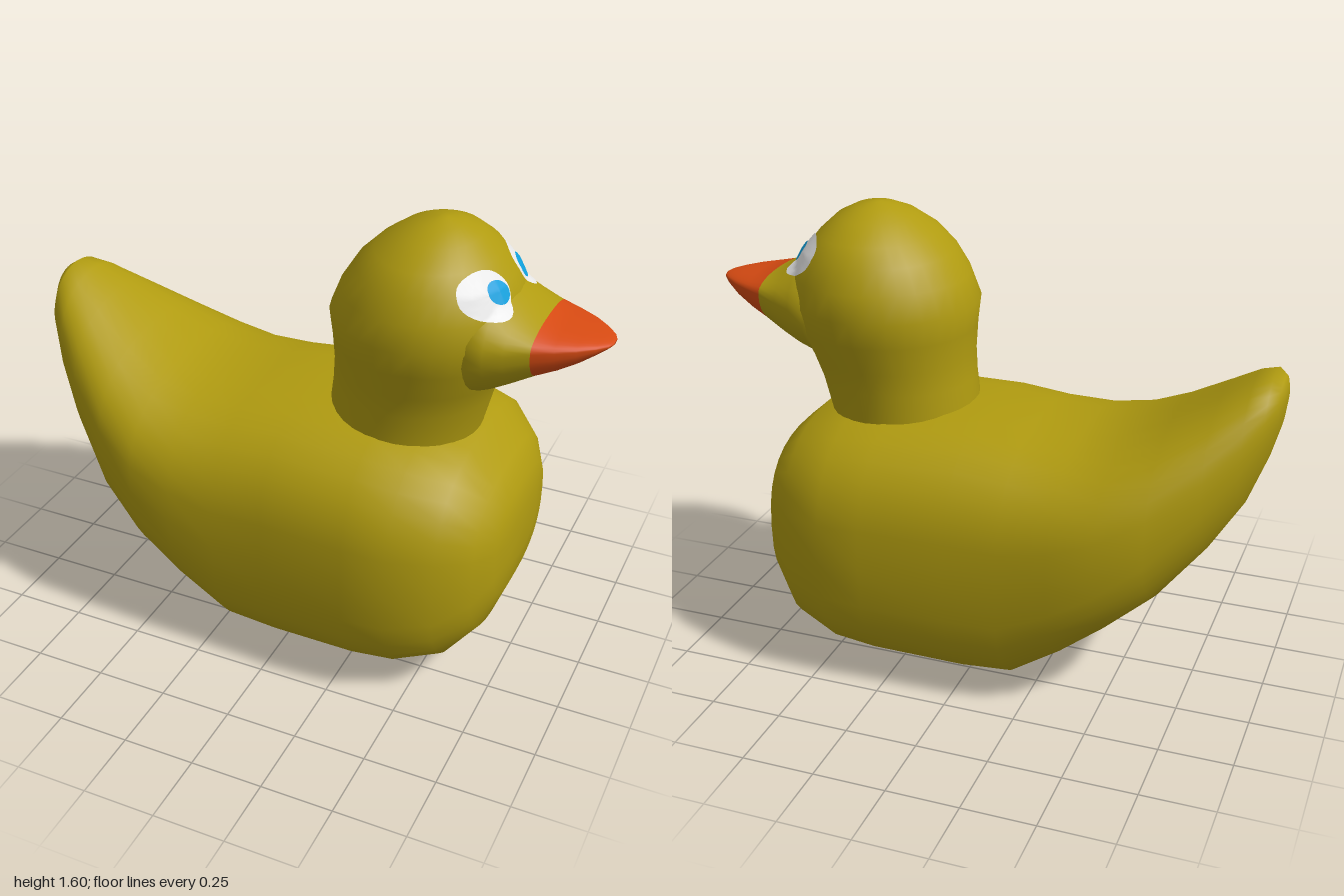
import * as THREE from 'three';

const SIDES = 32;

// superellipse helper: signed power of a sine or cosine
const pw = (v, n) => Math.sign(v) * Math.abs(v) ** (2 / n);

const ring = (fn) => Array.from({ length: SIDES }, (_, j) => {
  const a = (j / SIDES) * Math.PI * 2;
  return fn(Math.cos(a), Math.sin(a));
});

// upright cross-section at x; m is the height of the widest line
const sectionX = ([x, bottom, top, w, n = 2, m = 0.5]) => {
  const mid = bottom + (top - bottom) * m;
  return ring((c, s) => [x, mid + pw(s, n) * (s > 0 ? top - mid : mid - bottom), pw(c, n) * w]);
};

// level cross-section at y
const sectionY = ([y, back, front, w]) =>
  ring((c, s) => [(back + front) / 2 + (c * (front - back)) / 2, y, s * w]);

// skin over rings with closed ends; splitRow starts a second material group
function loft(rings, splitRow) {
  const pos = rings.flat(2);
  const idx = [];
  const centre = (r) => {
    for (let k = 0; k < 3; k++) pos.push(r.reduce((t, p) => t + p[k], 0) / SIDES);
    return pos.length / 3 - 1;
  };
  const last = rings.length - 1;
  const c0 = centre(rings[0]);
  const c1 = centre(rings[last]);
  let split = 0;
  for (let j = 0; j < SIDES; j++) idx.push(c0, j, (j + 1) % SIDES);
  for (let i = 0; i < last; i++) {
    if (i === splitRow) split = idx.length;
    for (let j = 0; j < SIDES; j++) {
      const k = (j + 1) % SIDES;
      const a = i * SIDES + j, b = i * SIDES + k;
      idx.push(a, a + SIDES, b, b, a + SIDES, b + SIDES);
    }
  }
  for (let j = 0; j < SIDES; j++) idx.push(c1, last * SIDES + (j + 1) % SIDES, last * SIDES + j);
  const g = new THREE.BufferGeometry();
  g.setAttribute('position', new THREE.Float32BufferAttribute(pos, 3));
  g.setIndex(idx);
  if (split) {
    g.addGroup(0, split, 0);
    g.addGroup(split, idx.length - split, 1);
  }
  g.computeVertexNormals();
  return g;
}

// thin oval patch dropped along x onto the given meshes
function patch(targets, z, y, rz, ry, tilt, lift) {
  const g = new THREE.RingGeometry(0.001, 1, 32, 5);
  g.scale(rz, ry, 1);
  g.rotateZ(tilt);
  g.rotateY(Math.PI / 2);
  g.translate(0, y, z);
  const p = g.attributes.position;
  const ray = new THREE.Raycaster();
  for (let i = 0; i < p.count; i++) {
    ray.set(new THREE.Vector3(2, p.getY(i), p.getZ(i)), new THREE.Vector3(-1, 0, 0));
    const hit = ray.intersectObjects(targets)[0];
    p.setX(i, (hit ? hit.point.x : 0.62) + lift);
  }
  g.computeVertexNormals();
  return g;
}

export function createModel() {
  const material = (name, color) => {
    const m = new THREE.MeshStandardMaterial({ color });
    m.name = name;
    return m;
  };
  const yellow = material('yellow', 0xb09b10);
  const orange = material('orange', 0xd64a12);
  const white = material('white', 0xf4f4f4);
  const blue = material('blue', 0x10a0dc);

  const model = new THREE.Group();
  model.name = 'toyDuck';
  const add = (name, geometry, mat) => {
    const mesh = new THREE.Mesh(geometry, mat);
    mesh.name = name;
    model.add(mesh);
    return mesh;
  };

  // body with upturned tail: x, bottom, top, half width, squareness
  add('body', loft([
    [-1.0, 1.05, 1.12, 0.05, 2],
    [-0.99, 0.98, 1.15, 0.1, 2],
    [-0.96, 0.87, 1.17, 0.17, 2],
    [-0.9, 0.71, 1.15, 0.235, 2.1],
    [-0.8, 0.55, 1.09, 0.32, 2.2],
    [-0.65, 0.37, 1.0, 0.42, 2.4],
    [-0.5, 0.25, 0.93, 0.475, 2.6],
    [-0.35, 0.13, 0.905, 0.485, 2.7],
    [-0.18, 0.015, 0.91, 0.49, 2.8],
    [0, 0, 0.93, 0.495, 2.8],
    [0.3, 0.01, 0.925, 0.51, 2.8],
    [0.45, 0.03, 0.905, 0.505, 2.8],
    [0.6, 0.085, 0.87, 0.45, 2.8],
    [0.7, 0.2, 0.78, 0.355, 2.7],
    [0.745, 0.32, 0.7, 0.26, 2.6],
    [0.76, 0.42, 0.61, 0.14, 2.4],
  ].map(sectionX)), yellow);

  // neck and head: y, back, front, half width
  const head = add('head', loft([
    [0.8, 0.06, 0.57, 0.255],
    [0.88, 0.06, 0.585, 0.255],
    [1.0, 0.075, 0.615, 0.265],
    [1.08, 0.08, 0.645, 0.28],
    [1.18, 0.075, 0.69, 0.31],
    [1.27, 0.065, 0.71, 0.33],
    [1.36, 0.1, 0.705, 0.315],
    [1.44, 0.15, 0.66, 0.28],
    [1.5, 0.21, 0.61, 0.235],
    [1.555, 0.285, 0.55, 0.155],
    [1.585, 0.35, 0.49, 0.08],
    [1.597, 0.4, 0.44, 0.02],
  ].map(sectionY)), yellow);

  // face tapering into the beak, which is orange from the fifth section on
  const beak = add('faceAndBeak', loft([
    [0.5, 1.05, 1.45, 0.22, 2, 0.5],
    [0.6, 1.05, 1.45, 0.25, 2, 0.52],
    [0.65, 1.07, 1.42, 0.242, 2, 0.55],
    [0.71, 1.105, 1.375, 0.22, 2.1, 0.62],
    [0.785, 1.15, 1.335, 0.188, 2.2, 0.72],
    [0.85, 1.18, 1.322, 0.157, 2.2, 0.74],
    [0.91, 1.215, 1.312, 0.122, 2.2, 0.74],
    [0.96, 1.25, 1.302, 0.08, 2.2, 0.7],
    [0.99, 1.272, 1.295, 0.045, 2, 0.6],
    [1.0, 1.28, 1.29, 0.02, 2, 0.5],
  ].map(sectionX), 4), [yellow, orange]);

  // mirrored painted eyes
  model.updateMatrixWorld(true);
  for (const s of [-1, 1]) {
    const side = s > 0 ? 'right' : 'left';
    add(side + 'Eye', patch([head, beak], s * 0.145, 1.43, 0.09, 0.066, s * 0.3, 0.006), white);
    add(side + 'Iris', patch([head, beak], s * 0.11, 1.432, 0.042, 0.034, s * 0.1, 0.011), blue);
  }
  return model;
}
